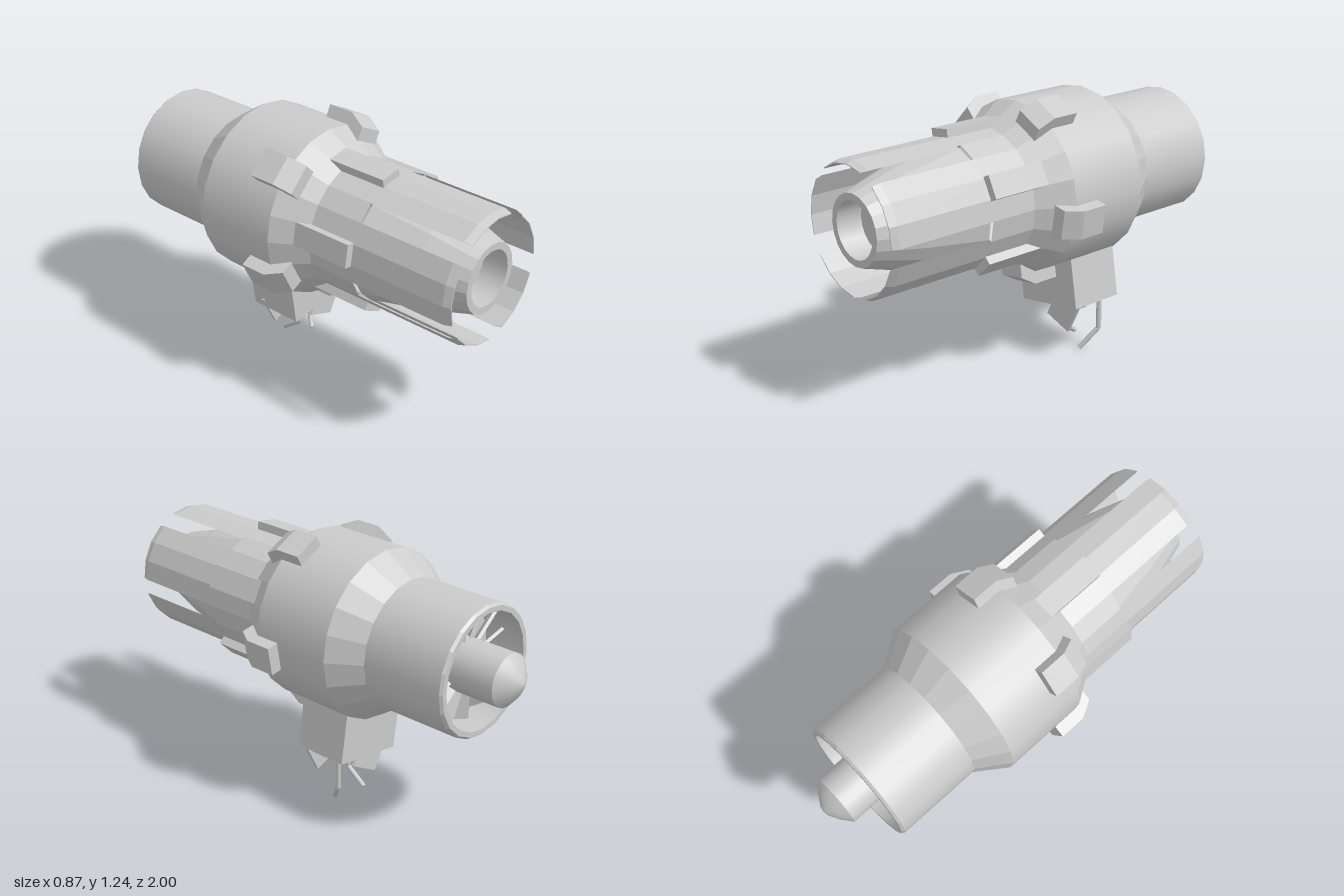
import * as THREE from 'three';

const SIDES = 20;
const AXIS = [-0.012, 0.815];
const flat = new THREE.MeshStandardMaterial({ color: 0xcccccc, flatShading: true, side: THREE.DoubleSide });
const smooth = new THREE.MeshStandardMaterial({ color: 0xcccccc, side: THREE.DoubleSide });

export function createModel() {
  const model = new THREE.Group();
  model.name = 'engine';
  const engine = new THREE.Group();
  engine.name = 'engineBody';
  engine.position.set(AXIS[0], AXIS[1], 0);
  model.add(engine);

  const add = (parent, name, geometry, material = flat) => {
    const mesh = new THREE.Mesh(geometry, material);
    mesh.name = name;
    parent.add(mesh);
    return mesh;
  };

  // Turned part around the z axis; points are [radius, z], rising z faces outwards
  const turned = (points, segments = SIDES, start = 0, sweep = Math.PI * 2) =>
    new THREE.LatheGeometry(points.map(([r, z]) => new THREE.Vector2(r, z)), segments, start, sweep)
      .rotateX(Math.PI / 2);

  // Part placed at a clockwise angle from the top, built pointing up
  const around = (count, firstDegrees, make) => {
    for (let i = 0; i < count; i++) {
      const mesh = make(i);
      mesh.rotation.z = -THREE.MathUtils.degToRad(firstDegrees + (i * 360) / count);
    }
  };

  // Main shell, each section separate so that its edges stay sharp
  add(engine, 'rearPipe', turned([[0.295, -0.803], [0.295, -0.41]]), smooth);
  add(engine, 'rearTaper', turned([[0.295, -0.41], [0.39, -0.27]]));
  add(engine, 'middleDrum', turned([[0.39, -0.27], [0.39, 0.12]]), smooth);
  add(engine, 'frontTaper', turned([[0.39, 0.12], [0.295, 0.27]]));
  add(engine, 'frontCollar', turned([[0.295, 0.27], [0.295, 0.5]]));

  // Rear intake: rim, inner wall and back plate
  add(engine, 'intakeRim', turned([[0.262, -0.815], [0.285, -0.815], [0.295, -0.803]]));
  add(engine, 'intakeWall', turned([[0.262, -0.62], [0.262, -0.815]]), smooth);
  add(engine, 'intakeBackPlate', turned([[0, -0.62], [0.262, -0.62]]));

  // Fan hub and blades
  add(engine, 'hub', turned([[0.118, -0.93], [0.118, -0.62]]), smooth);
  add(engine, 'hubNose', turned([[0, -1], [0.025, -0.995], [0.075, -0.966], [0.118, -0.93]]), smooth);
  const blade = new THREE.BoxGeometry(0.075, 0.16, 0.014);
  blade.rotateY(0.75).translate(0, 0.18, -0.69);
  around(14, 0, () => add(engine, 'fanBlade', blade));

  // Exhaust nozzle with a recessed mouth
  add(engine, 'nozzle', turned([[0.28, 0.5], [0.22, 0.77]]));
  add(engine, 'nozzleTip', turned([[0.22, 0.77], [0.157, 0.98]]));
  add(engine, 'nozzleLip', turned([[0.157, 0.98], [0.125, 0.98]]));
  add(engine, 'nozzleMouth', turned([[0.125, 0.98], [0.125, 0.86]]), smooth);
  add(engine, 'nozzleFloor', turned([[0.125, 0.86], [0, 0.86]]));

  // Five shroud petals, each three sides wide with a one-side gap
  const step = (Math.PI * 2) / SIDES;
  for (let i = 0; i < 5; i++) {
    add(engine, 'shroudPetal', turned(
      [[0.28, 0.5], [0.295, 0.5], [0.295, 0.965], [0.284, 1], [0.28, 1], [0.28, 0.5]],
      3, step * (5 + i * 4), step * 3));
  }

  // Front collar pads
  const pad = new THREE.BoxGeometry(0.104, 0.06, 0.3).translate(0, 0.297, 0.35);
  around(5, -9, () => add(engine, 'collarPad', pad));

  // Chamfered lugs on the drum
  const lugShape = new THREE.Shape([[0, 0.33], [0.2, 0.33], [0.2, 0.395], [0.125, 0.44], [0, 0.44]]
    .map(([z, r]) => new THREE.Vector2(z, r)));
  const lug = new THREE.ExtrudeGeometry(lugShape, { depth: 0.133, bevelEnabled: false })
    .translate(0, 0, -0.0665).rotateY(-Math.PI / 2);
  around(5, 27, () => add(engine, 'drumLug', lug));

  // Equipment box slung under the drum
  const box = new THREE.BoxGeometry(0.356, 0.28, 0.26).translate(0, 0.438, -0.13);
  around(1, 171, () => add(engine, 'equipmentBox', box));

  // Thin tilted plates below the box
  const plate = (name, corners, z) => add(model, name, new THREE.ExtrudeGeometry(
    new THREE.Shape(corners.map(([x, y]) => new THREE.Vector2(x, y))),
    { depth: 0.014, bevelEnabled: false }).translate(0, 0, z));
  plate('leftPlate', [[0.035, 0.177], [0.172, 0.128], [0.241, 0.265], [0.104, 0.314]], -0.04);
  plate('rightPlate', [[-0.11, 0.256], [-0.028, 0.102], [0.116, 0.184], [0.034, 0.338]], -0.21);

  // Bent cables hanging from the box
  const cable = (name, points) => {
    const path = new THREE.CurvePath();
    const p = points.map((v) => new THREE.Vector3(...v));
    for (let i = 1; i < p.length; i++) path.add(new THREE.LineCurve3(p[i - 1], p[i]));
    add(model, name, new THREE.TubeGeometry(path, 24, 0.012, 8), smooth);
    const end = add(model, name + 'End', new THREE.CircleGeometry(0.012, 8));
    end.position.copy(p[p.length - 1]);
    end.lookAt(p[p.length - 1].clone().multiplyScalar(2).sub(p[p.length - 2]));
  };
  cable('innerCable', [[0.037, 0.3, -0.105], [0.037, 0.11, -0.105], [0.037, 0.04, -0.2]]);
  cable('outerCable', [[0.203, 0.3, -0.195], [0.203, 0.11, -0.195], [0.148, 0.01, -0.125]]);

  return model;
}
